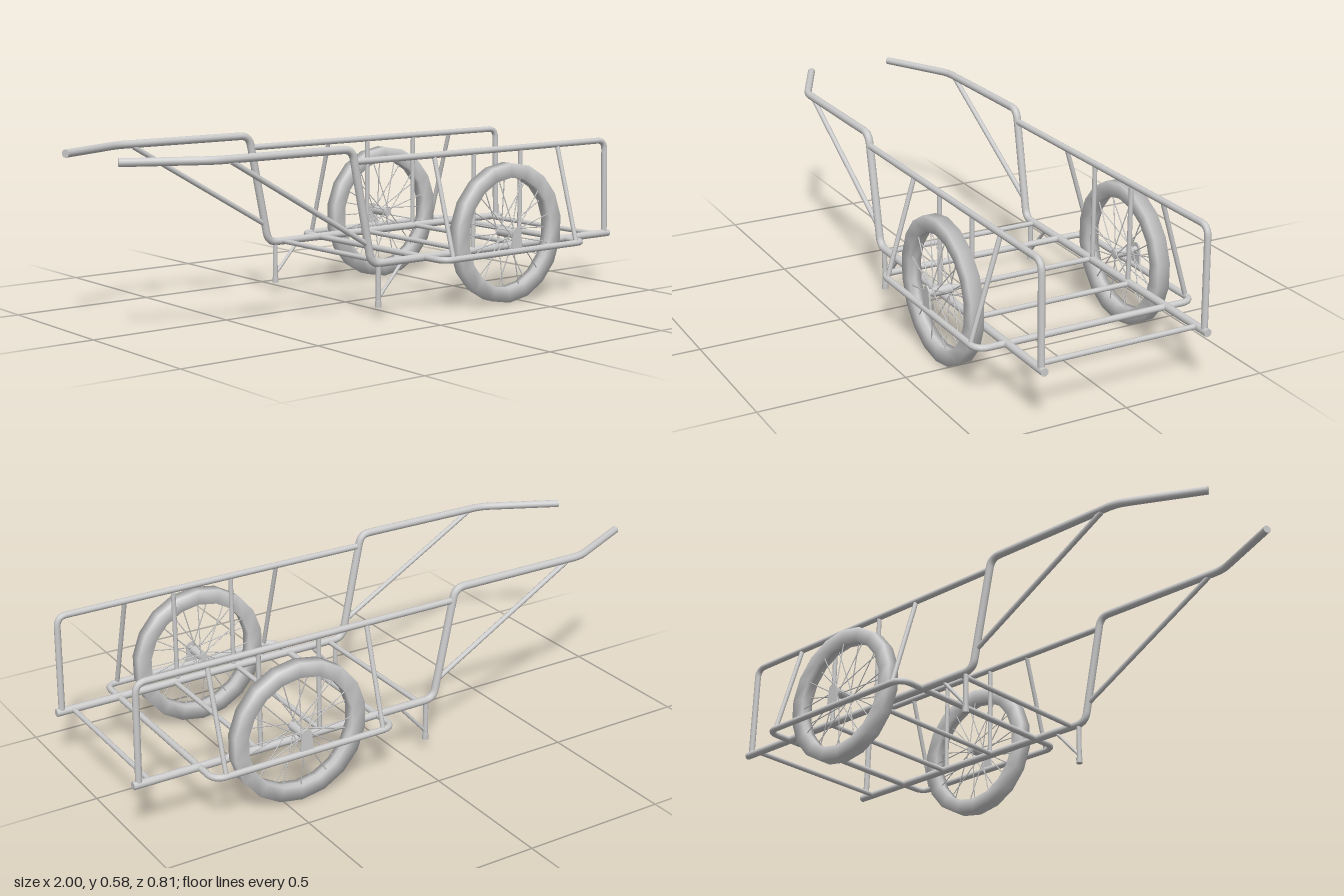
import * as THREE from 'three';
import { mergeGeometries } from 'three/addons/utils/BufferGeometryUtils.js';

const material = new THREE.MeshStandardMaterial({ color: 0xcccccc });
const V = (x, y, z) => new THREE.Vector3(x, y, z);

function add(parent, name, geometry) {
  const mesh = new THREE.Mesh(geometry, material);
  mesh.name = name;
  parent.add(mesh);
  return mesh;
}

// Straight round bar between two points
function barGeometry(a, b, r, sides = 10) {
  const d = b.clone().sub(a);
  const g = new THREE.CylinderGeometry(r, r, d.length(), sides);
  g.applyQuaternion(new THREE.Quaternion().setFromUnitVectors(V(0, 1, 0), d.normalize()));
  const mid = a.clone().add(b).multiplyScalar(0.5);
  return g.translate(mid.x, mid.y, mid.z);
}
const bar = (parent, name, a, b, r) => add(parent, name, barGeometry(a, b, r));

// Bent pipe with rounded corners and capped ends
function pipeGeometry(points, r, bend, segments) {
  const path = new THREE.CurvePath();
  let from = points[0];
  for (let i = 1; i < points.length - 1; i++) {
    const p = points[i];
    const p0 = p.clone().add(points[i - 1].clone().sub(p).setLength(bend));
    const p1 = p.clone().add(points[i + 1].clone().sub(p).setLength(bend));
    path.add(new THREE.LineCurve3(from, p0));
    path.add(new THREE.QuadraticBezierCurve3(p0, p, p1));
    from = p1;
  }
  const last = points[points.length - 1];
  path.add(new THREE.LineCurve3(from, last));
  const cap = (at, dir) => new THREE.CircleGeometry(r, 12)
    .applyQuaternion(new THREE.Quaternion().setFromUnitVectors(V(0, 0, 1), dir.normalize()))
    .translate(at.x, at.y, at.z);
  return mergeGeometries([
    new THREE.TubeGeometry(path, segments, r, 12),
    cap(points[0], points[0].clone().sub(points[1])),
    cap(last, last.clone().sub(points[points.length - 2])),
  ]);
}

const RAIL_Y = 0.185, RAIL_Z = 0.29, OUTER_Z = 0.393;
const WHEEL_R = 0.2435, WHEEL_X = 0.44, WHEEL_Z = 0.34;

// Tyre, hub and spokes, centred on the axle (axis along z)
function createWheel(s) {
  const wheel = new THREE.Group();
  const inner = 0.193, w = 0.0225;
  const profile = [[inner, 0], [inner, -w], [WHEEL_R, -w], [WHEEL_R, w], [inner, w], [inner, 0]]
    .map(([x, y]) => new THREE.Vector2(x, y));
  add(wheel, 'tyre', new THREE.LatheGeometry(profile, 18).rotateX(Math.PI / 2));
  add(wheel, 'hub', new THREE.CylinderGeometry(0.016, 0.016, 0.075, 14).rotateX(Math.PI / 2));
  const spokes = [];
  const count = 24;
  for (let i = 0; i < count; i++) {
    const a = (i / count) * Math.PI * 2;
    const side = i % 2 ? 1 : -1;
    const lean = a + (i % 4 < 2 ? 0.6 : -0.6);
    spokes.push(barGeometry(
      V(Math.cos(lean) * 0.014, Math.sin(lean) * 0.014, side * 0.033),
      V(Math.cos(a) * 0.2, Math.sin(a) * 0.2, side * 0.012), 0.002, 5));
  }
  add(wheel, 'spokes', mergeGeometries(spokes));
  wheel.position.set(WHEEL_X, WHEEL_R, s * WHEEL_Z);
  wheel.name = 'wheel';
  return wheel;
}

// Everything that repeats on both long sides of the cart (s = +1 or -1)
function createSide(s) {
  const side = new THREE.Group();
  const z = s * RAIL_Z, oz = s * OUTER_Z;
  side.name = s > 0 ? 'frontSide' : 'rearSide';

  // Handle, upright and floor rail are one bent pipe
  add(side, 'handleAndFloorRail', pipeGeometry([
    V(-0.994, 0.57, s * 0.162), V(-0.73, 0.57, z), V(-0.2, 0.57, z),
    V(-0.12, RAIL_Y, z), V(1, RAIL_Y, z),
  ], 0.0135, 0.035, 200));
  add(side, 'upperRail', pipeGeometry([
    V(-0.19, 0.528, z), V(0.972, 0.528, z), V(0.98, RAIL_Y, z),
  ], 0.011, 0.035, 140));
  bar(side, 'handleBrace', V(-0.67, 0.562, z), V(-0.14, 0.255, z), 0.009);

  // Upright posts, and slanted struts down to the outer frame
  for (const x of [0.33, 0.55]) bar(side, 'post', V(x, RAIL_Y, z), V(x, 0.528, z), 0.008);
  for (const x of [0.15, 0.73]) bar(side, 'slantedStrut', V(x, RAIL_Y, oz), V(x, 0.525, z), 0.008);

  // Resting leg
  bar(side, 'leg', V(-0.09, 0.045, z), V(-0.09, RAIL_Y, z), 0.009);
  bar(side, 'foot', V(-0.09, 0.038, z), V(-0.09, 0.058, z), 0.0115);
  bar(side, 'legBrace', V(-0.088, 0.07, z), V(0.015, RAIL_Y - 0.002, z), 0.006);

  // Axle stub and the plate carrying its outer end
  bar(side, 'axle', V(WHEEL_X, WHEEL_R, s * 0.3), V(WHEEL_X, WHEEL_R, s * 0.395), 0.012);
  const plate = new THREE.Shape();
  plate.moveTo(-0.025, RAIL_Y);
  plate.lineTo(0.025, RAIL_Y);
  plate.lineTo(0.018, 0.25);
  plate.absarc(0, 0.25, 0.018, 0, Math.PI);
  plate.closePath();
  add(side, 'axlePlate', new THREE.ExtrudeGeometry(plate, { depth: 0.006, bevelEnabled: false })
    .translate(WHEEL_X, 0, oz - 0.003));

  side.add(createWheel(s));
  return side;
}

export function createModel() {
  const cart = new THREE.Group();
  cart.name = 'handCart';
  for (const s of [1, -1]) cart.add(createSide(s));

  // Floor crossbars
  for (const x of [-0.06, 0.32, 0.56, 0.94]) {
    bar(cart, 'crossbar', V(x, RAIL_Y, -RAIL_Z), V(x, RAIL_Y, RAIL_Z), 0.009);
  }

  // Rounded outer frame around both wheels
  const x0 = 0.108, x1 = 0.772, y = RAIL_Y, oz = OUTER_Z;
  add(cart, 'outerFrame', pipeGeometry([
    V(x0, y, 0), V(x0, y, oz), V(x1, y, oz), V(x1, y, -oz), V(x0, y, -oz), V(x0, y, 0),
  ], 0.011, 0.045, 240));
  return cart;
}
